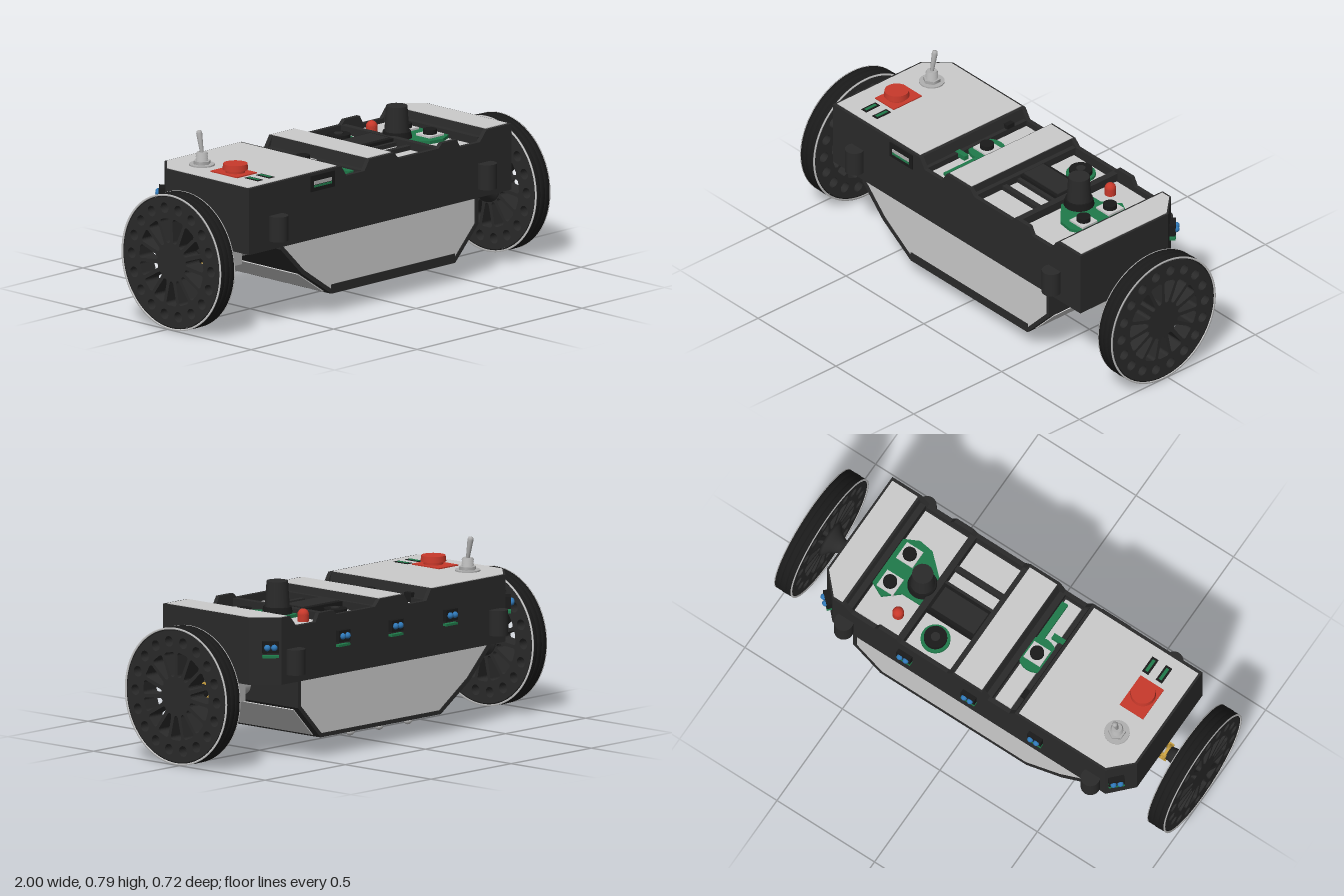
import * as THREE from 'three';

const mat = (color) => new THREE.MeshStandardMaterial({ color });
const dark = mat(0x2a2a2a), black = mat(0x1a1a1a), grey = mat(0xcccccc), steel = mat(0xb0b0b0);
const red = mat(0xc8392b), green = mat(0x1f7a4a), blue = mat(0x2f78b8), gold = mat(0xc9a040);

function add(parent, name, geo, material, x = 0, y = 0, z = 0) {
  const m = new THREE.Mesh(geo, material);
  m.name = name;
  m.position.set(x, y, z);
  parent.add(m);
  return m;
}
const box = (p, name, m, x0, x1, y0, y1, z0, z1) =>
  add(p, name, new THREE.BoxGeometry(x1 - x0, y1 - y0, z1 - z0), m, (x0 + x1) / 2, (y0 + y1) / 2, (z0 + z1) / 2);
const cyl = (p, name, m, r0, r1, h, x, y, z, n = 24) =>
  add(p, name, new THREE.CylinderGeometry(r1, r0, h, n), m, x, y + h / 2, z);
const shapeOf = (pts) => new THREE.Shape(pts.map(([x, y]) => new THREE.Vector2(x, y)));
const extrude = (shape, depth) => new THREE.ExtrudeGeometry(shape, { depth, bevelEnabled: false, curveSegments: 14 });

// Upper body: slices along z, with the rear corners chamfered
function bodySlice(parent, name, profile, z0, z1) {
  const g = extrude(shapeOf(profile), z1 - z0).translate(0, 0, z0);
  const p = g.attributes.position;
  for (let i = 0; i < p.count; i++) {
    const cut = Math.max(0, -0.2 - p.getZ(i)) * 0.95;
    p.setX(i, THREE.MathUtils.clamp(p.getX(i), -0.81 + cut, 0.78 - cut));
  }
  g.computeVertexNormals();
  add(parent, name, g, dark);
}

function createBody() {
  const g = new THREE.Group();
  g.name = 'upperBody';
  const base = [[-0.81, 0.345], [0.78, 0.345], [0.78, 0.635], [0.63, 0.635]];
  const end = [[-0.25, 0.635], [-0.81, 0.635]];
  const wall = [...base, [0.59, 0.588], [0.47, 0.588], [0.45, 0.625], [0.36, 0.625], [0.34, 0.605], [0.1, 0.605],
    [0.07, 0.635], [-0.08, 0.635], [-0.11, 0.588], [-0.22, 0.588], ...end];
  const core = [...base, [0.61, 0.56], [0.08, 0.56], [0.07, 0.635], [-0.08, 0.635], [-0.1, 0.56], [-0.23, 0.56], ...end];
  bodySlice(g, 'frontWall', wall, 0.28, 0.3);
  bodySlice(g, 'bodyCore', core, -0.2, 0.28);
  bodySlice(g, 'bodyCoreRear', core, -0.28, -0.2);
  bodySlice(g, 'rearWall', wall, -0.3, -0.28);
  // light deck plates
  const plate = (name, pts, y) => {
    const geo = extrude(shapeOf(pts.map(([x, z]) => [x, -z])), 0.006).rotateX(-Math.PI / 2);
    add(g, name, geo, grey, 0, y, 0);
  };
  plate('rightDeckPlate', [[-0.8, 0.285], [-0.265, 0.285], [-0.265, -0.29], [-0.71, -0.29], [-0.8, -0.2]], 0.632);
  plate('middleDeckPlate', [[-0.075, 0.285], [0.065, 0.285], [0.065, -0.29], [-0.075, -0.29]], 0.632);
  plate('leftDeckPlate', [[0.64, 0.285], [0.77, 0.285], [0.77, -0.2], [0.685, -0.29], [0.64, -0.29]], 0.632);
  // recessed panels and ribs
  for (const [x0, x1, z0, z1] of [[-0.21, -0.13, -0.27, 0.27], [0.09, 0.33, -0.27, -0.11], [0.09, 0.33, 0.05, 0.11],
    [0.09, 0.33, 0.14, 0.27], [0.37, 0.59, -0.27, 0.27]]) box(g, 'recessPanel', grey, x0, x1, 0.555, 0.572, z0, z1);
  for (const x of [-0.235, -0.105, 0.08, 0.35, 0.61])
    box(g, 'recessRib', dark, x - 0.015, x + 0.015, 0.55, x < 0 ? 0.59 : 0.605, -0.28, 0.28);
  for (const z of [0.04, 0.125]) box(g, 'crossRib', dark, 0.08, 0.35, 0.55, 0.59, z - 0.012, z + 0.012);
  // rounded bumpers
  for (const x of [-0.65, 0.615]) for (const s of [1, -1]) {
    cyl(g, 'bumper', dark, 0.042, 0.042, 0.11, x, 0.385, s * 0.318);
  }
  // front port
  box(g, 'portFrame', black, -0.44, -0.295, 0.555, 0.625, 0.29, 0.305);
  box(g, 'portSocket', steel, -0.42, -0.315, 0.585, 0.6, 0.3, 0.308);
  box(g, 'portBoard', green, -0.42, -0.315, 0.573, 0.582, 0.3, 0.308);
  // rear distance sensors
  for (const [x, z, a] of [[-0.75, -0.27, 0.75], [-0.36, -0.3, 0], [-0.02, -0.3, 0], [0.31, -0.3, 0], [0.72, -0.27, -0.75]]) {
    const s = new THREE.Group();
    s.name = 'rearSensor';
    s.position.set(x, 0.51, z);
    s.rotation.y = a;
    box(s, 'sensorHousing', black, -0.035, 0.035, -0.025, 0.025, -0.02, 0.025);
    box(s, 'sensorBoard', green, -0.035, 0.035, -0.045, -0.035, -0.02, 0.02);
    for (const dx of [-0.015, 0.015]) add(s, 'sensorLens', new THREE.SphereGeometry(0.014, 14, 10), blue, dx, 0, -0.022);
    g.add(s);
  }
  return g;
}

function createControls() {
  const g = new THREE.Group();
  g.name = 'controls';
  // toggle switch
  cyl(g, 'switchWasher', steel, 0.055, 0.055, 0.008, -0.66, 0.636, -0.13);
  cyl(g, 'switchNut', steel, 0.038, 0.038, 0.014, -0.66, 0.644, -0.13, 6);
  for (let i = 0; i < 4; i++) cyl(g, 'switchThread', steel, 0.027, 0.022, 0.01, -0.66, 0.655 + i * 0.01, -0.13);
  const lever = add(g, 'switchLever', new THREE.LatheGeometry([[0, 0], [0.008, 0], [0.013, 0.085], [0.01, 0.097], [0, 0.1]]
    .map(([x, y]) => new THREE.Vector2(x, y)), 16), steel, -0.66, 0.69, -0.13);
  lever.rotation.x = -0.19;
  // emergency button
  box(g, 'buttonBase', red, -0.72, -0.6, 0.635, 0.643, -0.02, 0.14);
  cyl(g, 'buttonStem', red, 0.042, 0.042, 0.02, -0.66, 0.643, 0.07);
  cyl(g, 'buttonCap', red, 0.055, 0.052, 0.025, -0.66, 0.656, 0.07, 32);
  for (const x of [-0.68, -0.61]) {
    box(g, 'indicatorSlot', black, x - 0.016, x + 0.016, 0.634, 0.64, 0.16, 0.24);
    box(g, 'indicatorBoard', green, x - 0.007, x + 0.007, 0.636, 0.642, 0.17, 0.23);
  }
  // push buttons on square bodies
  const pushButton = (x, z) => {
    box(g, 'pushButtonBody', grey, x - 0.042, x + 0.042, 0.57, 0.595, z - 0.042, z + 0.042);
    cyl(g, 'pushButtonCap', black, 0.03, 0.03, 0.02, x, 0.595, z);
  };
  cyl(g, 'roundBoard', green, 0.08, 0.08, 0.015, -0.17, 0.572, -0.01);
  pushButton(-0.17, -0.01);
  box(g, 'stripBoard', green, -0.155, -0.125, 0.572, 0.585, 0.05, 0.25);
  box(g, 'sideBoard', green, -0.25, -0.18, 0.572, 0.593, 0.085, 0.11);
  box(g, 'smallPost', black, -0.26, -0.22, 0.56, 0.61, -0.21, -0.17);
  // display, knob and control board
  box(g, 'displayFrame', black, 0.08, 0.34, 0.56, 0.604, -0.105, 0.035);
  box(g, 'displayScreen', dark, 0.1, 0.32, 0.604, 0.608, -0.09, 0.02);
  const hex = [[0.34, -0.1], [0.46, -0.1], [0.53, -0.16], [0.61, -0.12], [0.61, 0.1], [0.53, 0.14], [0.46, 0.13], [0.34, 0.02]];
  add(g, 'controlBoard', extrude(shapeOf(hex.map(([x, z]) => [x, -z])), 0.014).rotateX(-Math.PI / 2), green, 0, 0.572, 0);
  for (const z of [-0.09, 0.06]) pushButton(0.53, z);
  cyl(g, 'knobSkirt', black, 0.066, 0.06, 0.03, 0.41, 0.585, -0.02, 32);
  cyl(g, 'knob', dark, 0.053, 0.046, 0.11, 0.41, 0.615, -0.02, 18);
  cyl(g, 'redLampBase', red, 0.025, 0.025, 0.03, 0.425, 0.572, -0.185);
  add(g, 'redLamp', new THREE.SphereGeometry(0.025, 16, 10), red, 0.425, 0.602, -0.185);
  cyl(g, 'buzzerBoard', green, 0.064, 0.064, 0.012, 0.23, 0.572, -0.19);
  cyl(g, 'buzzer', black, 0.05, 0.05, 0.02, 0.23, 0.584, -0.19);
  cyl(g, 'buzzerHole', dark, 0.02, 0.02, 0.004, 0.23, 0.604, -0.19);
  return g;
}

function createHull() {
  const g = new THREE.Group();
  g.name = 'lowerHull';
  const outline = [[-0.62, 0.35], [-0.62, 0.335], [-0.49, 0.205], [-0.31, 0.085], [0.44, 0.085], [0.58, 0.23], [0.58, 0.35]];
  const inner = [[-0.6, 0.35], [-0.6, 0.343], [-0.477, 0.22], [-0.304, 0.102], [0.433, 0.102], [0.562, 0.237], [0.562, 0.35]];
  const frame = shapeOf(outline.concat(inner.slice().reverse()));
  for (const s of [1, -1]) {
    add(g, 'hullFrame', extrude(frame, 0.03), dark, 0, 0, s > 0 ? 0.27 : -0.3);
    add(g, 'hullPanel', extrude(shapeOf(inner), 0.02), grey, 0, 0, s > 0 ? 0.276 : -0.296);
  }
  // end walls following the outline, light panels on the lowest slopes
  [[1, 2, 0], [2, 3, 1], [4, 5, 1], [5, 6, 0]].forEach(([a, b, light]) => {
    const [x0, y0] = outline[a], [x1, y1] = outline[b];
    const len = Math.hypot(x1 - x0, y1 - y0);
    const wall = new THREE.Group();
    wall.name = 'hullEnd';
    wall.position.set((x0 + x1) / 2, (y0 + y1) / 2, 0);
    wall.rotation.z = Math.atan2(y1 - y0, x1 - x0);
    box(wall, 'endWall', dark, -len / 2, len / 2, 0, 0.018, -0.29, 0.29);
    if (light) box(wall, 'endPanel', grey, -len / 2 + 0.015, len / 2 - 0.015, -0.004, 0.006, -0.265, 0.265);
    g.add(wall);
  });
  // underside: closed front half, exposed circuit board at the rear
  box(g, 'bottomPanel', grey, -0.29, 0.42, 0.088, 0.1, 0.02, 0.27);
  for (const z of [-0.28, 0.005, 0.285]) box(g, 'bottomBar', dark, -0.31, 0.44, 0.085, 0.125, z - 0.015, z + 0.015);
  for (const x of [-0.3, 0.43]) box(g, 'bottomEdge', dark, x - 0.012, x + 0.012, 0.085, 0.125, -0.29, 0.29);
  box(g, 'bottomBoard', green, -0.3, 0.43, 0.118, 0.128, -0.28, 0.01);
  for (const x of [-0.2, -0.02, 0.16]) {
    box(g, 'floorSensorBase', black, x - 0.035, x + 0.035, 0.095, 0.118, -0.245, -0.175);
    cyl(g, 'floorSensorStem', grey, 0.021, 0.021, 0.05, x, 0.066, -0.21);
    add(g, 'floorSensorTip', new THREE.SphereGeometry(0.021, 16, 12), grey, x, 0.066, -0.21);
    add(g, 'floorSensorLens', new THREE.SphereGeometry(0.014, 12, 8), blue, x, 0.075, -0.19);
  }
  for (let i = 0; i < 11; i++) box(g, 'pin', steel, -0.122 + i * 0.022, -0.116 + i * 0.022, 0.065, 0.12, -0.06, -0.054);
  for (let i = 0; i < 3; i++) box(g, 'contact', gold, 0.26, 0.33, 0.1, 0.118, -0.21 + i * 0.06, -0.19 + i * 0.06);
  const ring = add(g, 'floorRing', new THREE.TorusGeometry(0.06, 0.006, 8, 32), black, 0.05, 0.088, -0.03);
  ring.rotation.x = Math.PI / 2;
  return g;
}

// Wheel built along +z, with its outer face at z = 0.087
function createWheel() {
  const g = new THREE.Group();
  g.name = 'wheel';
  const disc = new THREE.Shape().absarc(0, 0, 0.285, 0, Math.PI * 2);
  for (let i = 0; i < 18; i++) {
    const a = (i + 0.5) * Math.PI / 9;
    disc.holes.push(new THREE.Path().absarc(0.237 * Math.sin(a), 0.237 * Math.cos(a), 0.023, 0, Math.PI * 2, true));
  }
  for (let i = 0; i < 15; i++) {
    const pts = [];
    for (const [cx, cy, r, a0, a1] of [[0.178, 0.018, 0.012, 0, 100], [0.095, 0, 0.011, 100, 260], [0.178, -0.018, 0.012, 260, 360]])
      for (let k = 0; k <= 5; k++) {
        const t = THREE.MathUtils.degToRad(a0 + (a1 - a0) * k / 5);
        pts.push(new THREE.Vector2(cx + r * Math.cos(t), cy + r * Math.sin(t))
          .rotateAround(new THREE.Vector2(), Math.PI / 2 + (i + 0.5) * Math.PI * 2 / 15));
      }
    disc.holes.push(new THREE.Path(pts));
  }
  add(g, 'wheelDisc', extrude(disc, 0.083), dark, 0, 0, 0.002);
  const lathe = (name, pts, m) => add(g, name, new THREE.LatheGeometry(pts.map(([r, z]) => new THREE.Vector2(r, z)), 72)
    .rotateX(Math.PI / 2), m);
  lathe('tire', [[0.284, 0.004], [0.296, 0.004], [0.296, 0.026], [0.291, 0.028], [0.291, 0.032], [0.297, 0.034],
    [0.297, 0.053], [0.291, 0.055], [0.291, 0.059], [0.296, 0.061], [0.296, 0.083], [0.284, 0.083]], black);
  for (const z of [0, 0.083]) lathe('rimRing', [[0.289, z], [0.297, z], [0.297, z + 0.004], [0.289, z + 0.004], [0.289, z]], grey);
  lathe('hub', [[0, -0.09], [0.03, -0.09], [0.034, -0.06], [0.05, -0.03], [0.078, -0.008], [0.082, 0.01], [0, 0.01]], dark);
  return g;
}

function createDrive(s) {
  const g = new THREE.Group();
  g.name = s > 0 ? 'leftDrive' : 'rightDrive';
  const wheel = createWheel();
  wheel.position.set(s * 0.913, 0.297, 0.021);
  wheel.rotation.y = s * Math.PI / 2;
  g.add(wheel);
  // motor, gearbox and bracket lying along x
  const rod = (name, m, r, x0, x1, n = 24) => {
    const c = add(g, name, new THREE.CylinderGeometry(r, r, x1 - x0, n), m, s * (x0 + x1) / 2, 0.297, 0.021);
    c.rotation.z = Math.PI / 2;
  };
  rod('motor', steel, 0.046, 0.5, 0.77);
  rod('shaft', steel, 0.014, 0.77, 0.9);
  for (const x of [0.765, 0.79, 0.815]) rod('gearPlate', gold, 0.04, x, x + 0.012, 8);
  for (const dz of [-0.03, 0.03]) for (const dy of [-0.022, 0.022])
    add(g, 'gearPost', new THREE.BoxGeometry(0.07, 0.01, 0.01), gold, s * 0.795, 0.297 + dy, 0.021 + dz);
  add(g, 'motorBracket', new THREE.BoxGeometry(0.07, 0.1, 0.13), steel, s * 0.67, 0.286, 0.021);
  add(g, 'bracketFlange', new THREE.BoxGeometry(0.15, 0.015, 0.17), steel, s * 0.7, 0.336, 0.021);
  return g;
}

export function createModel() {
  const model = new THREE.Group();
  model.name = 'twoWheeledRobot';
  model.add(createBody(), createControls(), createHull(), createDrive(1), createDrive(-1));
  return model;
}
